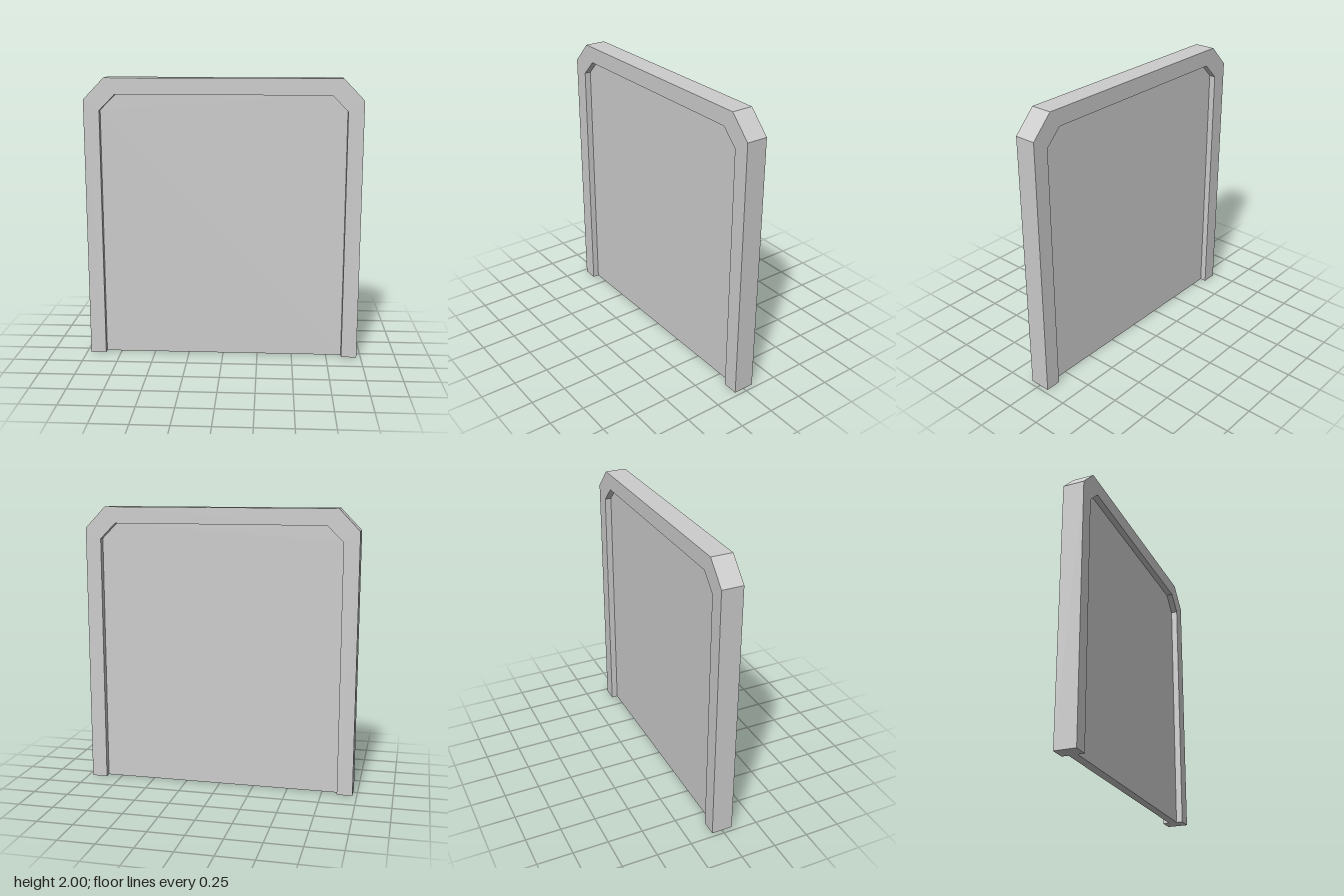
import * as THREE from 'three';

const FRAME_DEPTH = 0.15;
const PANEL_DEPTH = 0.06;

// Left half of an arch with clipped corners, from foot to top
const OUTER = [[0.97, 0], [0.97, 1.85], [0.825, 2]];
const INNER = [[0.86, 0], [0.86, 1.775], [0.75, 1.885]];

// Complete a half outline by mirroring it across x = 0
function archPoints(half) {
  const mirrored = half.map(([x, y]) => [-x, y]).reverse();
  return [...half, ...mirrored].map(([x, y]) => new THREE.Vector2(x, y));
}

// Extrude an outline, centred on z = 0
function slab(name, points, depth, material) {
  const geometry = new THREE.ExtrudeGeometry(new THREE.Shape(points), { depth, bevelEnabled: false });
  geometry.translate(0, 0, -depth / 2);
  const mesh = new THREE.Mesh(geometry, material);
  mesh.name = name;
  return mesh;
}

export function createModel() {
  const model = new THREE.Group();
  model.name = 'framedPanel';

  const grey = new THREE.MeshStandardMaterial({ color: 0xcccccc });
  grey.name = 'light grey';

  const outer = archPoints(OUTER);
  const inner = archPoints(INNER);

  // Frame: two posts and a top rail, open at the bottom
  model.add(slab('frame', [...outer, ...inner.slice().reverse()], FRAME_DEPTH, grey));

  // Panel: thinner slab filling the opening, recessed on both sides
  model.add(slab('panel', inner, PANEL_DEPTH, grey));

  return model;
}
